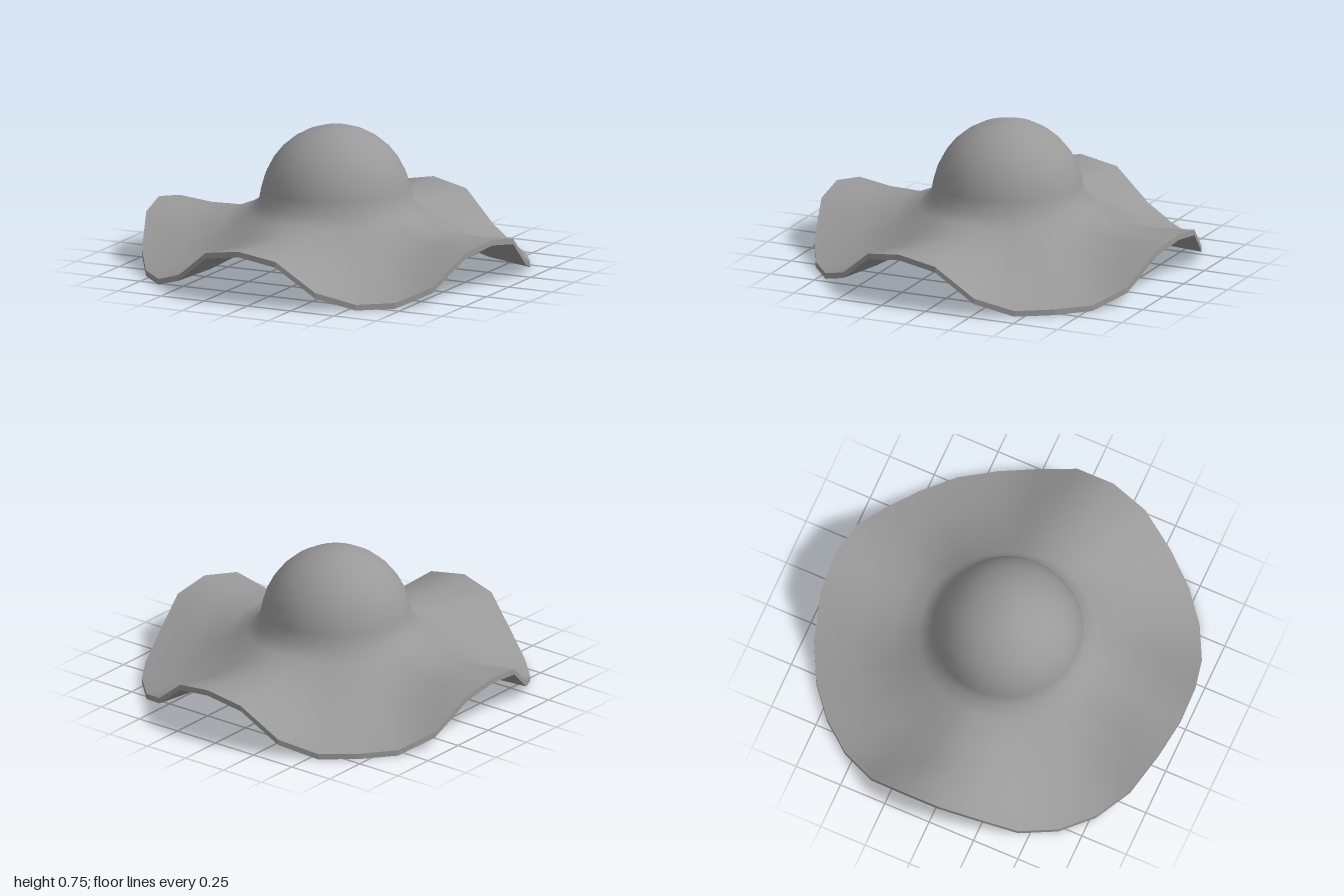
import * as THREE from 'three';
import { mergeVertices } from 'three/addons/utils/BufferGeometryUtils.js';

const SIDES = 30;
const STEP = (Math.PI * 2) / SIDES;
const START = -3 * Math.PI / 180; // a brim peak lies at this angle from +z
const PEAKS = [0, 7, 15, 23, 30]; // steps at which the brim rises
const LIFT = [1, 0.86, 0.25, 0, 0]; // rise by number of steps from a peak
const THICK = 0.03;

// brim rings: radius, height on a peak, height in a valley
const BRIM = [
  [0.4, 0.35, 0.345],
  [0.46, 0.312, 0.295],
  [0.59, 0.261, 0.19],
  [0.79, 0.262, 0.085],
  [1, 0.281, 0.03],
];

function lift(i) {
  return LIFT[Math.min(...PEAKS.map((p) => Math.abs(p - i)))];
}

// Skin a list of [radius, peak height, valley height] rings
function skin(rings, flip) {
  const pos = [];
  const index = [];
  rings.forEach(([r, high, low], j) => {
    for (let i = 0; i < SIDES; i++) {
      const a = START + i * STEP;
      pos.push(r * Math.sin(a), low + (high - low) * lift(i), r * Math.cos(a));
      if (j === rings.length - 1) continue;
      const k = (i + 1) % SIDES;
      const p = j * SIDES + i, q = j * SIDES + k;
      const s = p + SIDES, t = q + SIDES;
      if (flip) {
        if (r > 0) index.push(p, q, s);
        index.push(q, t, s);
      } else {
        if (r > 0) index.push(p, s, q);
        index.push(q, s, t);
      }
    }
  });
  let geo = new THREE.BufferGeometry();
  geo.setAttribute('position', new THREE.Float32BufferAttribute(pos, 3));
  geo.setIndex(index);
  geo = mergeVertices(geo);
  geo.computeVertexNormals();
  return geo;
}

// Rings of the crown dome, from the top down to just above the brim
function dome(radius, height) {
  const rings = [];
  for (let i = 0; i < 8; i++) {
    const a = (i / 8) * Math.PI / 2;
    const y = 0.35 + height * Math.cos(a);
    rings.push([radius * Math.sin(a), y, y]);
  }
  return rings;
}

export function createModel() {
  const hat = new THREE.Group();
  hat.name = 'sunHat';
  const smooth = new THREE.MeshStandardMaterial({ color: 0x999999 });
  const flat = new THREE.MeshStandardMaterial({ color: 0x999999, flatShading: true });
  const add = (name, geo, mat) => {
    const mesh = new THREE.Mesh(geo, mat);
    mesh.name = name;
    hat.add(mesh);
  };

  // crown and brim, outside
  add('outerShell', skin([...dome(0.392, 0.4), ...BRIM], false), smooth);

  // hollow crown and underside of the brim
  const under = BRIM.map(([r, high, low], j) => [j ? r : 0.385, high - THICK, low - THICK]);
  add('lining', skin([...dome(0.362, 0.37), ...under], true), smooth);

  // thin edge around the brim
  add('brimEdge', skin([BRIM[4], under[4]], false), flat);
  return hat;
}
